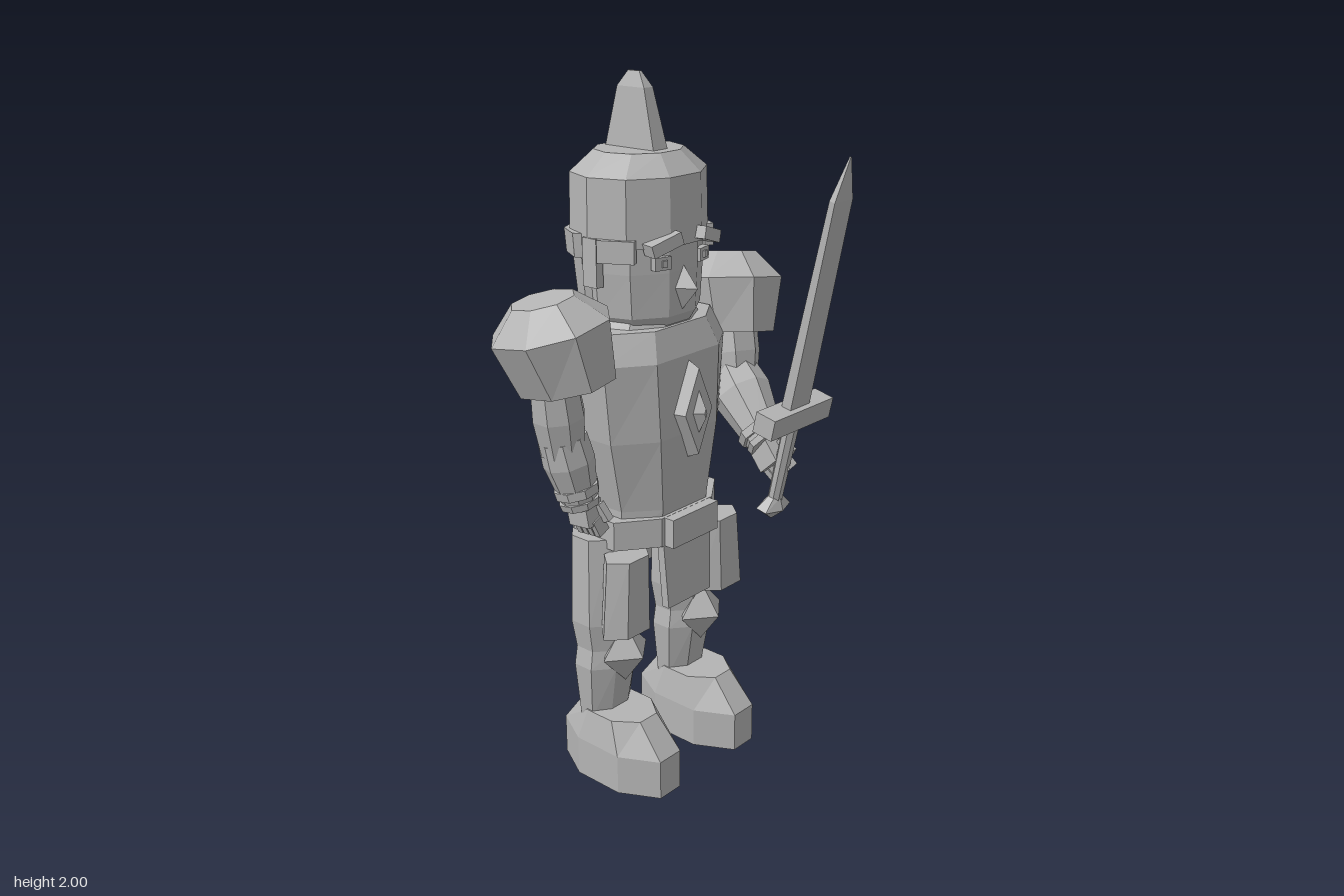
import * as THREE from 'three';

const steel = new THREE.MeshStandardMaterial({ color: 0xb4b4b4, flatShading: true });
steel.name = 'steel grey';

// Closed faceted solid through rings [y, halfWidth, halfDepth, x, z], bottom to top.
// A power below 1 makes the outline squarer.
function loft(rings, n, flatFront = true, power = 1) {
  const a0 = Math.PI / 2 + (flatFront ? Math.PI / n : 0);
  const bend = v => Math.sign(v) * Math.abs(v) ** power;
  const dirs = Array.from({ length: n }, (_, i) => {
    const a = a0 + (i * 2 * Math.PI) / n;
    return [bend(Math.cos(a)), bend(Math.sin(a))];
  });
  const mx = Math.max(...dirs.map(d => Math.abs(d[0])));
  const mz = Math.max(...dirs.map(d => Math.abs(d[1])));
  const pos = [], idx = [];
  for (const [y, rx, rz, x = 0, z = 0] of rings)
    for (const [c, s] of dirs) pos.push(x + (c / mx) * rx, y, z + (s / mz) * rz);
  for (let r = 0; r < rings.length - 1; r++)
    for (let i = 0; i < n; i++) {
      const a = r * n + i, b = r * n + ((i + 1) % n);
      idx.push(a, a + n, b, b, a + n, b + n);
    }
  const top = (rings.length - 1) * n;
  for (let i = 1; i < n - 1; i++) idx.push(0, i, i + 1, top, top + i + 1, top + i);
  const g = new THREE.BufferGeometry();
  g.setAttribute('position', new THREE.Float32BufferAttribute(pos, 3));
  g.setIndex(idx);
  const flat = g.toNonIndexed();
  flat.computeVertexNormals();
  return flat;
}

function add(parent, name, geo, x = 0, y = 0, z = 0, rx = 0, ry = 0, rz = 0) {
  const m = new THREE.Mesh(geo, steel);
  m.name = name;
  m.position.set(x, y, z);
  m.rotation.set(rx, ry, rz);
  parent.add(m);
  return m;
}
const box = (w, h, d) => new THREE.BoxGeometry(w, h, d);
const gem = (w, h, d) => new THREE.OctahedronGeometry(1).scale(w, h, d);
// Diamond plate facing the front, narrowing to the given fraction
const diamond = (w, h, d, narrow) =>
  new THREE.CylinderGeometry(narrow, 1, d, 4).rotateX(Math.PI / 2).scale(w, h, 1);

// Limb from a to b; profile holds [fraction, radius].
function limb(parent, name, a, b, profile, n = 8) {
  const from = new THREE.Vector3(...a), dir = new THREE.Vector3(...b).sub(from);
  const len = dir.length();
  const m = add(parent, name, loft(profile.map(([t, r]) => [t * len, r, r]), n), ...a);
  m.quaternion.setFromUnitVectors(new THREE.Vector3(0, 1, 0), dir.normalize());
  return m;
}

function part(parent, name) {
  const g = new THREE.Group();
  g.name = name;
  parent.add(g);
  return g;
}

// Hand with curled fingers, pointing along its own -y
function hand(parent, x, y, z, rx, rz) {
  const h = part(parent, 'hand');
  h.position.set(x, y, z);
  h.rotation.set(rx, 0, rz);
  add(h, 'palm', box(0.06, 0.07, 0.075), 0, -0.02, 0);
  for (let i = 0; i < 4; i++)
    add(h, 'finger', box(0.04, 0.05, 0.018), 0.012, -0.063, -0.033 + i * 0.022, 0, 0, 0.3);
  add(h, 'thumb', box(0.022, 0.055, 0.022), 0.025, -0.025, 0.046, -0.3, 0, 0.2);
}

export function createModel() {
  const root = new THREE.Group();
  root.name = 'armouredKnight';

  // Breastplate, collar and chest ornament
  add(root, 'torso', loft([
    [0.74, 0.18, 0.145], [0.84, 0.18, 0.155], [1.05, 0.225, 0.17],
    [1.27, 0.245, 0.168], [1.35, 0.2, 0.14],
  ], 8, true, 0.75), 0, 0, -0.16);
  add(root, 'collar', loft([[1.33, 0.185, 0.135], [1.37, 0.16, 0.125]], 10), 0, 0, -0.16);
  add(root, 'chestDiamond', diamond(0.065, 0.145, 0.05, 0.85), 0, 1.115, 0.02);
  add(root, 'chestDiamondCore', diamond(0.036, 0.09, 0.04, 0.15), 0, 1.115, 0.05);

  // Belt and hanging plates
  add(root, 'belt', loft([[0.735, 0.215, 0.158], [0.82, 0.215, 0.158]], 8, true, 0.8), 0, 0, -0.155);
  add(root, 'buckle', box(0.19, 0.085, 0.05), 0, 0.777, 0.01);
  add(root, 'frontSkirt', loft([[0.54, 0.09, 0.012, 0, 0], [0.75, 0.1, 0.012, 0, -0.01]], 4));
  add(root, 'backSkirt', loft([[0.54, 0.145, 0.028, 0, -0.28], [0.76, 0.145, 0.028, 0, -0.272]], 4));

  // Head
  const head = part(root, 'head');
  add(head, 'face', loft([
    [1.345, 0.145, 0.125], [1.38, 0.17, 0.145], [1.5, 0.18, 0.15], [1.62, 0.18, 0.15],
  ], 10), 0, 0, -0.16);
  add(head, 'neckGuard', loft([[1.41, 0.172, 0.1], [1.57, 0.187, 0.115]], 10), 0, 0, -0.205);
  add(head, 'helmet', loft([
    [1.57, 0.2, 0.168], [1.75, 0.196, 0.164], [1.805, 0.125, 0.112],
  ], 10), 0, 0, -0.167);
  add(head, 'helmetBackRim', loft([[1.535, 0.195, 0.11], [1.6, 0.2, 0.115]], 10), 0, 0, -0.22);
  add(head, 'crest', loft([
    [1.78, 0.029, 0.092, 0, -0.175], [1.96, 0.017, 0.048, 0, -0.178], [2, 0.004, 0.02, 0, -0.178],
  ], 4));
  add(head, 'nose', gem(0.036, 0.07, 0.06), 0, 1.455, -0.02);
  for (const s of [-1, 1]) {
    add(head, 'brow', box(0.095, 0.034, 0.05), s * 0.083, 1.583, -0.008, 0, s * 0.25, -s * 0.3);
    add(head, 'eye', box(0.05, 0.035, 0.02), s * 0.08, 1.53, -0.017, 0, s * 0.25, 0);
    add(head, 'pupil', box(0.016, 0.018, 0.008), s * 0.08, 1.53, -0.005, 0, s * 0.25, 0);
    add(head, 'templeBand', box(0.025, 0.06, 0.1), s * 0.171, 1.565, -0.09, 0, -s * 0.5, 0);
    add(head, 'earGuard', box(0.025, 0.13, 0.05), s * 0.188, 1.53, -0.16);
  }

  // Legs, feet, knee spikes and thigh plates
  for (const s of [-1, 1]) {
    const leg = part(root, s > 0 ? 'leftLeg' : 'rightLeg');
    add(leg, 'foot', loft([
      [0, 0.102, 0.192, 0, -0.108], [0.12, 0.102, 0.192, 0, -0.108],
      [0.215, 0.084, 0.115, 0, -0.115],
    ], 8), s * 0.167);
    add(leg, 'shin', loft([
      [0.19, 0.078, 0.055, 0, -0.172], [0.36, 0.095, 0.078, 0, -0.165], [0.42, 0.085, 0.074, 0, -0.165],
    ], 8), s * 0.167);
    add(leg, 'thigh', loft([
      [0.41, 0.085, 0.074, 0, -0.165], [0.5, 0.098, 0.085, 0, -0.167], [0.76, 0.085, 0.078, 0, -0.172],
    ], 8), s * 0.167);
    add(leg, 'kneeSpike', gem(0.088, 0.095, 0.07), s * 0.167, 0.402, -0.088);
    add(leg, 'thighPlate', loft([
      [0.5, 0.09, 0.05, s * 0.202, -0.05], [0.725, 0.078, 0.048, s * 0.192, -0.053],
    ], 6));
  }

  // Shoulder pads, sloping outward and back
  for (const s of [-1, 1])
    add(root, s > 0 ? 'leftShoulderPad' : 'rightShoulderPad', loft([
      [-0.125, 0.112, 0.14], [0.03, 0.152, 0.156], [0.105, 0.077, 0.085],
    ], 8), s * 0.347, 1.362, -0.15, -0.16, 0, -s * 0.17);

  const upper = [[0, 0.06], [0.55, 0.068], [1, 0.058]];
  const fore = [[0, 0.062], [0.35, 0.066], [1, 0.044]];

  // Right arm hanging down
  const rightArm = part(root, 'rightArm');
  limb(rightArm, 'upperArm', [-0.345, 1.27, -0.16], [-0.315, 1.04, -0.16], upper);
  limb(rightArm, 'forearm', [-0.318, 1.08, -0.16], [-0.28, 0.88, -0.135], fore);
  limb(rightArm, 'wristBand', [-0.29, 0.94, -0.143], [-0.286, 0.915, -0.139], [[0, 0.06], [1, 0.058]]);
  limb(rightArm, 'wristBand', [-0.284, 0.9, -0.138], [-0.281, 0.88, -0.135], [[0, 0.054], [1, 0.05]]);
  hand(rightArm, -0.275, 0.882, -0.13, -0.1, 0.1);

  // Left arm bent forward
  const leftArm = part(root, 'leftArm');
  limb(leftArm, 'upperArm', [0.345, 1.28, -0.15], [0.31, 1.07, -0.09], [[0, 0.085], [0.5, 0.085], [1, 0.068]]);
  limb(leftArm, 'forearm', [0.318, 1.13, -0.11], [0.26, 0.96, 0.08], [[0, 0.07], [0.35, 0.08], [1, 0.05]]);
  limb(leftArm, 'wristBand', [0.27, 0.99, 0.045], [0.265, 0.975, 0.063], [[0, 0.066], [1, 0.062]]);
  limb(leftArm, 'wristBand', [0.262, 0.967, 0.073], [0.258, 0.956, 0.087], [[0, 0.056], [1, 0.052]]);
  hand(leftArm, 0.255, 0.945, 0.082, -0.75, -0.1);

  // Sword, built upright from its pommel and leaned forward
  const sword = part(leftArm, 'sword');
  sword.position.set(0.243, 0.742, 0.112);
  sword.rotation.x = 0.212;
  add(sword, 'pommel', loft([[0, 0.004, 0.004], [0.04, 0.057, 0.036], [0.075, 0.02, 0.018]], 6, false));
  add(sword, 'grip', loft([[0.06, 0.021, 0.019], [0.34, 0.024, 0.021]], 8));
  add(sword, 'guard', box(0.268, 0.062, 0.066), 0, 0.34, 0);
  add(sword, 'blade', loft([
    [0.36, 0.044, 0.016], [0.97, 0.04, 0.009], [1.085, 0.002, 0.002],
  ], 4));

  return root;
}
